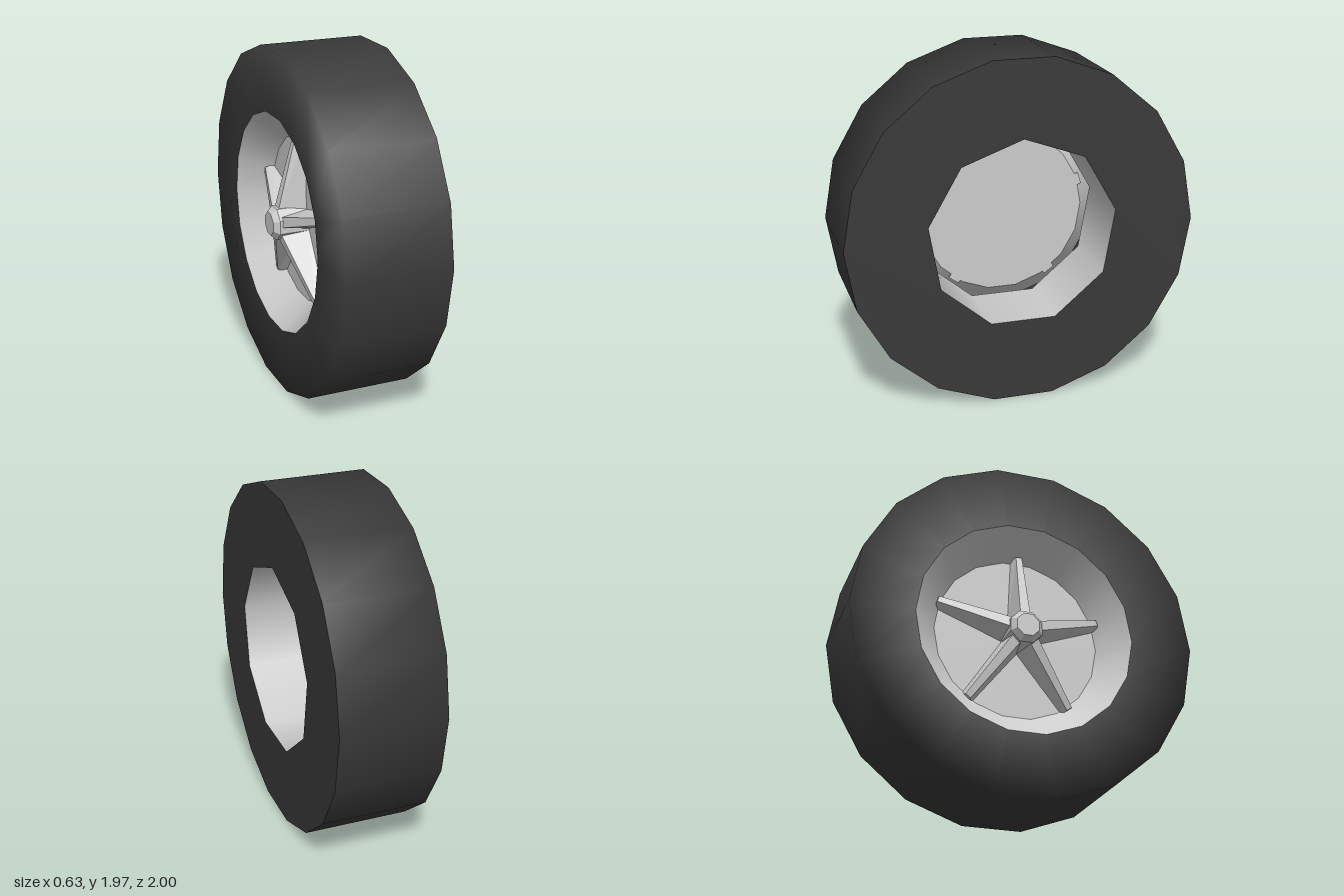
import * as THREE from 'three';

const AXLE_Y = 0.985, INNER_X = 0.315, OUTER_X = -0.29;
const DISC_X = -0.115, DISC_R = 0.483, RIM_R = 0.634, BARREL_R = 0.545;

// Surface of revolution about the x axis; profile points are [radius, x]
function turned(profile, sides, phiStart = 0) {
  const points = profile.map(([r, x]) => new THREE.Vector2(r, x));
  return new THREE.LatheGeometry(points, sides, phiStart).rotateZ(-Math.PI / 2);
}

function polygon(radius, sides, start = 0) {
  return Array.from({ length: sides }, (_, i) => {
    const a = start + (i / sides) * Math.PI * 2;
    return new THREE.Vector2(radius * Math.cos(a), radius * Math.sin(a));
  });
}

// Fin that is deep at the hub and shallow at the rim, narrower along its ridge
function spokeGeometry() {
  const geometry = new THREE.BoxGeometry(1, 1, 1);
  const p = geometry.attributes.position;
  for (let i = 0; i < p.count; i++) {
    const tip = p.getY(i) > 0, ridge = p.getX(i) < 0;
    const side = Math.sign(p.getZ(i));
    const ridgeX = tip ? -0.165 : -0.28;
    const halfWidth = tip ? (ridge ? 0.018 : 0.035) : (ridge ? 0.03 : 0.055);
    p.setXYZ(i, ridge ? ridgeX : DISC_X, tip ? 0.5 : 0.06, side * halfWidth);
  }
  geometry.computeVertexNormals();
  return geometry;
}

export function createModel() {
  const model = new THREE.Group();
  model.name = 'wheel';
  const wheel = new THREE.Group();
  wheel.name = 'wheelAssembly';
  wheel.position.y = AXLE_Y;
  model.add(wheel);

  const rubber = new THREE.MeshStandardMaterial({ color: 0x393939, side: THREE.DoubleSide });
  const metal = new THREE.MeshStandardMaterial({ color: 0xcccccc, side: THREE.DoubleSide });
  const faceted = new THREE.MeshStandardMaterial({ color: 0xcccccc, flatShading: true });

  const add = (name, geometry, material, parent = wheel) => {
    const mesh = new THREE.Mesh(geometry, material);
    mesh.name = name;
    parent.add(mesh);
    return mesh;
  };

  // Tyre: outer sidewall blends into the tread, inner sidewall has a nine-sided hole
  const tyre = new THREE.Group();
  tyre.name = 'tyre';
  wheel.add(tyre);
  add('treadAndOuterSidewall',
    turned([[RIM_R, OUTER_X], [1, OUTER_X], [1, INNER_X]], 18), rubber, tyre);
  add('tyreInnerWall', turned([[RIM_R, INNER_X], [RIM_R, OUTER_X]], 18), rubber, tyre);
  const sidewall = new THREE.Shape(polygon(1, 18));
  sidewall.holes.push(new THREE.Path(polygon(BARREL_R, 9, Math.PI / 2)));
  add('innerSidewall',
    new THREE.ShapeGeometry(sidewall).rotateY(Math.PI / 2).translate(INNER_X, 0, 0), rubber, tyre);

  // Rim: nine-sided barrel, flared dish and flat disc
  add('rimBarrel',
    turned([[BARREL_R, INNER_X], [BARREL_R, -0.107]], 9, -Math.PI / 2), metal);
  add('rimDish', turned([[DISC_R, DISC_X], [RIM_R, OUTER_X]], 18), metal);
  add('rimDisc',
    new THREE.CircleGeometry(DISC_R, 18).rotateY(-Math.PI / 2).translate(DISC_X, 0, 0), metal);

  // Hub with a chamfered cap
  add('hub', turned([[0, -0.32], [0.07, -0.32], [0.1, -0.288], [0.1, DISC_X]], 8, Math.PI / 8), faceted);

  // Five spokes
  const spoke = spokeGeometry();
  for (let i = 0; i < 5; i++) {
    add('spoke', spoke, faceted).rotation.x = (i / 5) * Math.PI * 2;
  }

  return model;
}
